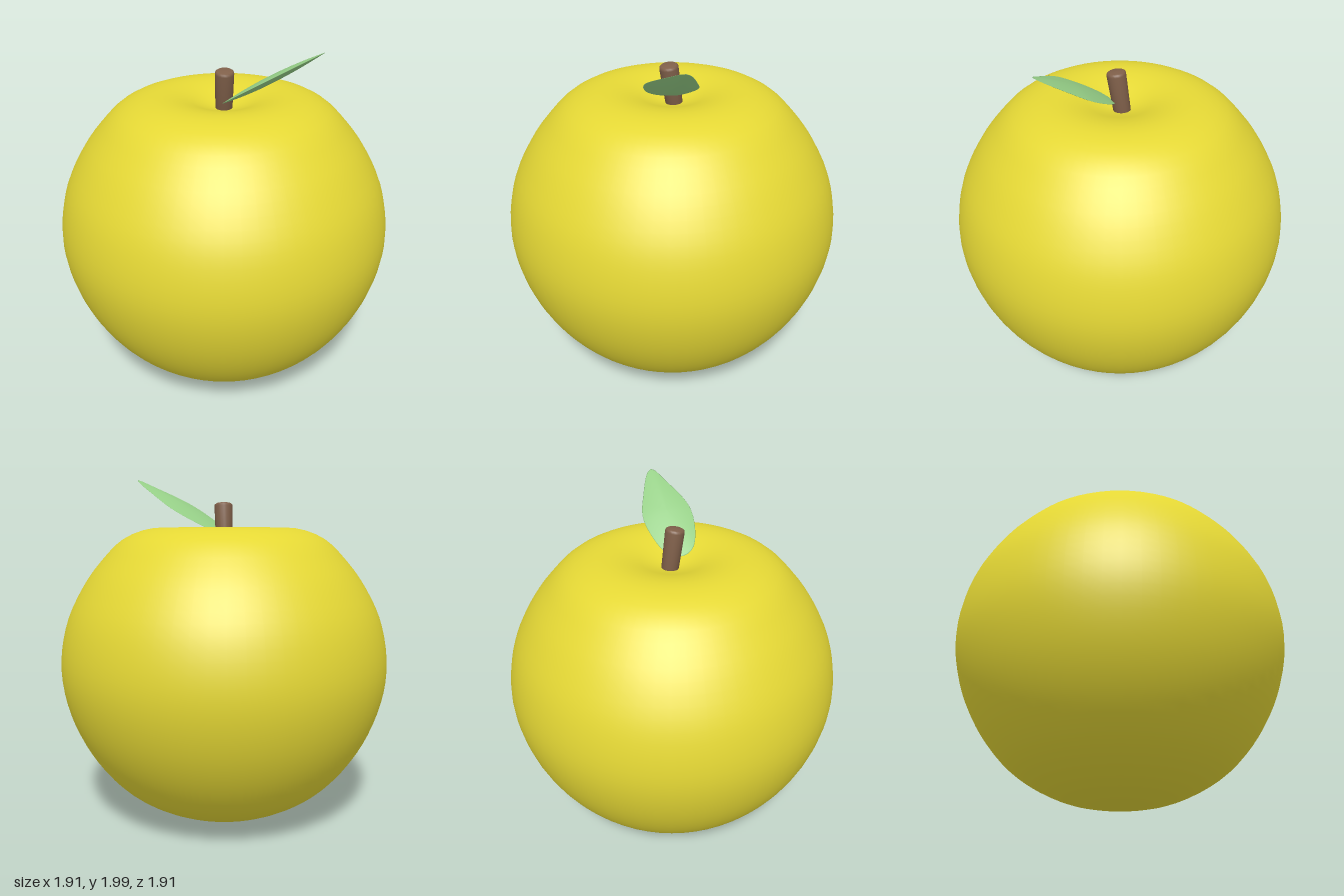
import * as THREE from 'three';

function part(name, geometry, color) {
  const mesh = new THREE.Mesh(geometry, new THREE.MeshStandardMaterial({ color }));
  mesh.name = name;
  return mesh;
}

const spline = (pts, closed = false) =>
  new THREE.CatmullRomCurve3(pts.map(([x, y]) => new THREE.Vector3(x, y, 0)), closed, 'centripetal');

// Round body with a shallow hollow around the stem
function fruitGeometry() {
  const profile = spline([
    [0, 0.005], [0.18, 0.012], [0.36, 0.055], [0.6, 0.19], [0.78, 0.39], [0.905, 0.64],
    [0.955, 0.91], [0.91, 1.19], [0.8, 1.41], [0.7, 1.54], [0.6, 1.64], [0.48, 1.698],
    [0.35, 1.717], [0.22, 1.695], [0.1, 1.65], [0, 1.625],
  ]).getSpacedPoints(48).map((p) => new THREE.Vector2(Math.max(p.x, 0), p.y));
  return new THREE.LatheGeometry(profile, 64);
}

// Short stalk with a slightly rounded top rim
function stemGeometry() {
  const profile = [[0, 0], [0.046, 0], [0.053, 0.28], [0.051, 0.292], [0.043, 0.298], [0, 0.3]];
  return new THREE.LatheGeometry(profile.map(([r, y]) => new THREE.Vector2(r, y)), 20);
}

// Thin lens-shaped leaf: a sphere whose columns follow the leaf outline on a rising plane
function leafGeometry() {
  const columns = 44;
  const outline = spline([
    [0.03, 0.03], [0.038, 0.075], [0.075, 0.115], [0.16, 0.13], [0.31, 0.1], [0.47, -0.04],
    [0.54, -0.122], [0.52, -0.143], [0.375, -0.165], [0.25, -0.165], [0.11, -0.09], [0.045, -0.025],
  ], true).getSpacedPoints(columns);
  const geometry = new THREE.SphereGeometry(1, columns, 16);
  const pos = geometry.attributes.position;
  const cx = 0.27, cz = -0.03;
  for (let i = 0; i < pos.count; i++) {
    const edge = outline[i % (columns + 1)];
    const h = pos.getY(i);
    const r = Math.sqrt(Math.max(0, 1 - h * h));
    const x = cx + r * (edge.x - cx);
    const z = cz + r * (edge.y - cz);
    pos.setXYZ(i, x, 1.665 + 0.62 * x + 0.024 * h * Math.abs(h), z);
  }
  geometry.computeVertexNormals();
  return geometry;
}

export function createModel() {
  const group = new THREE.Group();
  group.name = 'fruit';

  const stem = part('stem', stemGeometry(), 0x80604a);
  const base = new THREE.Vector3(-0.015, 1.56, -0.02);
  const tip = new THREE.Vector3(0.016, 1.86, 0.018);
  stem.position.copy(base);
  stem.quaternion.setFromUnitVectors(new THREE.Vector3(0, 1, 0), tip.sub(base).normalize());

  group.add(
    part('fruitBody', fruitGeometry(), 0xe5d835),
    stem,
    part('leaf', leafGeometry(), 0x96cf87),
  );
  return group;
}
